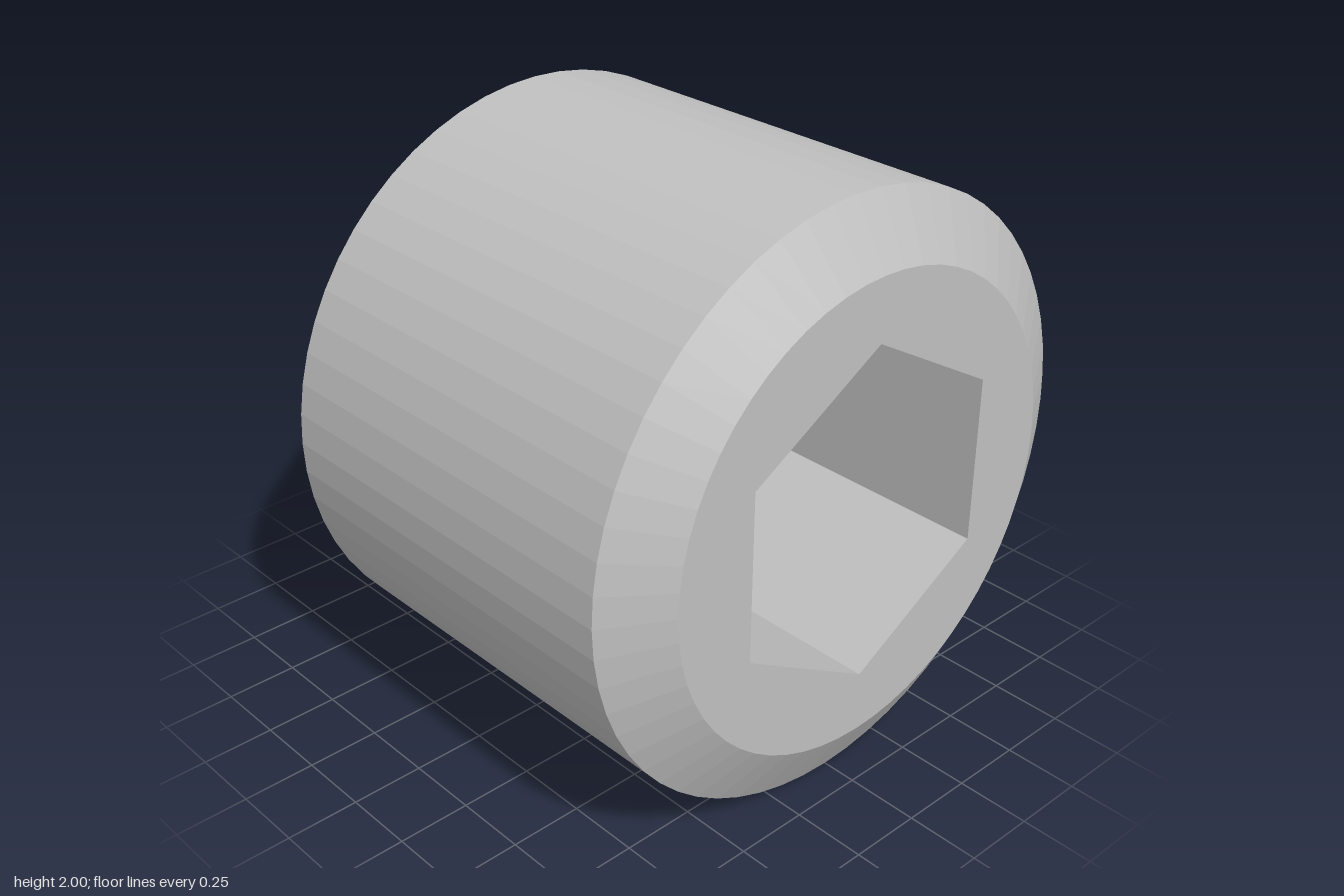
import * as THREE from 'three';

export function createModel() {
  const group = new THREE.Group();
  group.name = 'setScrew';
  const steel = new THREE.MeshStandardMaterial({ color: 0xc0c0c0, flatShading: true, side: THREE.DoubleSide });
  steel.name = 'steel grey';

  const SIDES = 60, RIM = 0.526, HEX = 0.5 / Math.cos(Math.PI / 6);
  const FRONT = 1, SOCKET_FLOOR = 0.16;

  const add = (name, geometry) => {
    const flat = geometry.index ? geometry.toNonIndexed() : geometry;
    flat.computeVertexNormals();
    const mesh = new THREE.Mesh(flat, steel);
    mesh.name = name;
    mesh.position.y = 1;
    group.add(mesh);
  };
  const ring = (radius, sides) => Array.from({ length: sides }, (_, i) => {
    const a = Math.PI / 2 + (i / sides) * Math.PI * 2;
    return new THREE.Vector2(radius * Math.cos(a), radius * Math.sin(a));
  });
  // Lathe about the z axis from [radius, z] pairs, running back to front
  const turned = (profile) =>
    new THREE.LatheGeometry(profile.map(([r, z]) => new THREE.Vector2(r, z)), SIDES).rotateX(Math.PI / 2);

  // Turned outside and the conical cup in the back
  add('body', turned([[1, -0.53], [1, 0.88]]));
  add('frontChamfer', turned([[1, 0.88], [0.79, FRONT]]));
  add('backChamfer', turned([[RIM, -1], [1, -0.53]]));
  add('cup', turned([[0, -0.684], [RIM, -1]]));

  // Front face around the hexagonal opening
  const face = new THREE.Shape(ring(0.79, SIDES));
  face.holes.push(new THREE.Path(ring(HEX, 6)));
  add('frontFace', new THREE.ShapeGeometry(face).translate(0, 0, FRONT));

  // Hexagonal socket: walls turned inward, and the floor
  const depth = FRONT - SOCKET_FLOOR;
  const walls = new THREE.CylinderGeometry(HEX, HEX, depth, 6, 1, true)
    .rotateX(Math.PI / 2).scale(-1, 1, 1).translate(0, 0, FRONT - depth / 2);
  add('socketWalls', walls);
  add('socketFloor', new THREE.CircleGeometry(HEX, 6, Math.PI / 2).translate(0, 0, SOCKET_FLOOR));

  // Two shallow half fans over the cup, leaving a slit between them
  const halfFan = (name, start, tip) => {
    const pos = [];
    const rim = (i) => {
      const a = start + (i * Math.PI * 2) / SIDES;
      return [RIM * Math.cos(a), RIM * Math.sin(a), -1];
    };
    for (let i = 0; i < SIDES / 2; i++) pos.push(...tip, ...rim(i + 1), ...rim(i));
    const g = new THREE.BufferGeometry();
    g.setAttribute('position', new THREE.Float32BufferAttribute(pos, 3));
    add(name, g);
  };
  halfFan('upperCupFan', 0, [-0.36, 0.17, -0.94]);
  halfFan('lowerCupFan', Math.PI, [0.38, 0.0, -0.94]);

  return group;
}
